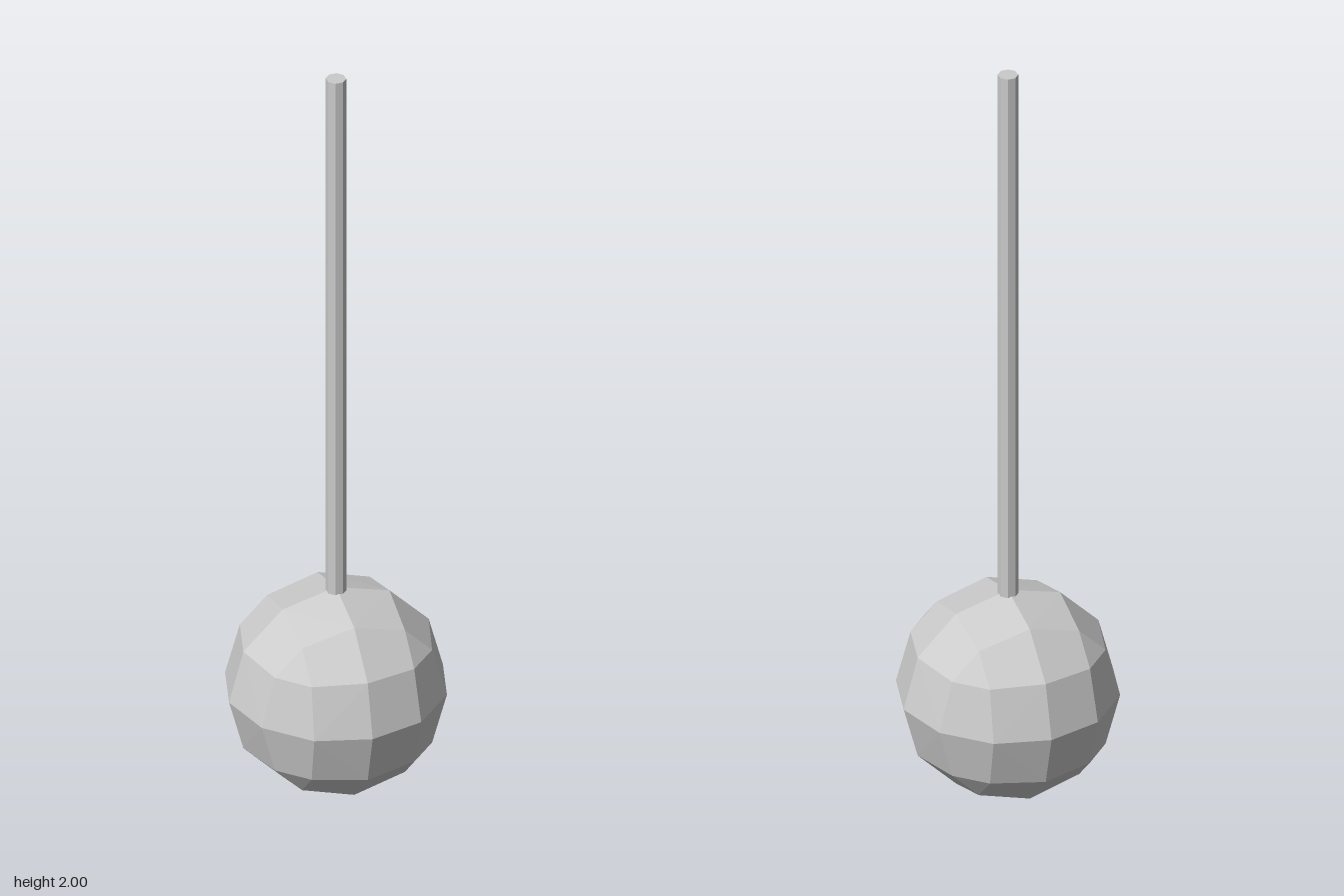
import * as THREE from 'three';
import { ConvexGeometry } from 'three/addons/geometries/ConvexGeometry.js';

const R = 0.275;     // ball radius
const ROD_R = 0.025; // rod corner radius
const TOP = 2;

// Faceted ball: a bevelled cube, two quads across each face, rounded to a sphere
function ballGeometry() {
  const points = [];
  const add = (x, y, z) => points.push(new THREE.Vector3(x, y, z).setLength(R));
  const c = Math.cos(Math.PI / 6), s = 0.5;
  const inner = 0.48, outer = 0.735;
  for (const a of [-1, 1]) {
    // face centres
    add(a, 0, 0); add(0, a, 0); add(0, 0, a);
    for (const b of [-1, 1]) {
      // 12-sided rings in the three main planes
      for (const [u, v] of [[c, s], [s, c]]) {
        add(a * u, b * v, 0);
        add(0, a * u, b * v);
        add(b * v, 0, a * u);
      }
      // small triangle at each cube corner
      for (const d of [-1, 1]) {
        add(a * outer, b * inner, d * inner);
        add(a * inner, b * outer, d * inner);
        add(a * inner, b * inner, d * outer);
      }
    }
  }
  return new ConvexGeometry(points);
}

export function createModel() {
  const model = new THREE.Group();
  const material = new THREE.MeshStandardMaterial({ color: 0xcccccc, flatShading: true });

  const ball = new THREE.Mesh(ballGeometry(), material);
  ball.name = 'ball';
  ball.position.y = R;

  // Eight-sided rod, flats facing the axes, sunk slightly into the ball
  const bottom = 2 * R - 0.02;
  const rod = new THREE.Mesh(new THREE.CylinderGeometry(ROD_R, ROD_R, TOP - bottom, 8), material);
  rod.name = 'rod';
  rod.rotation.y = Math.PI / 8;
  rod.position.y = (TOP + bottom) / 2;

  model.add(ball, rod);
  return model;
}
